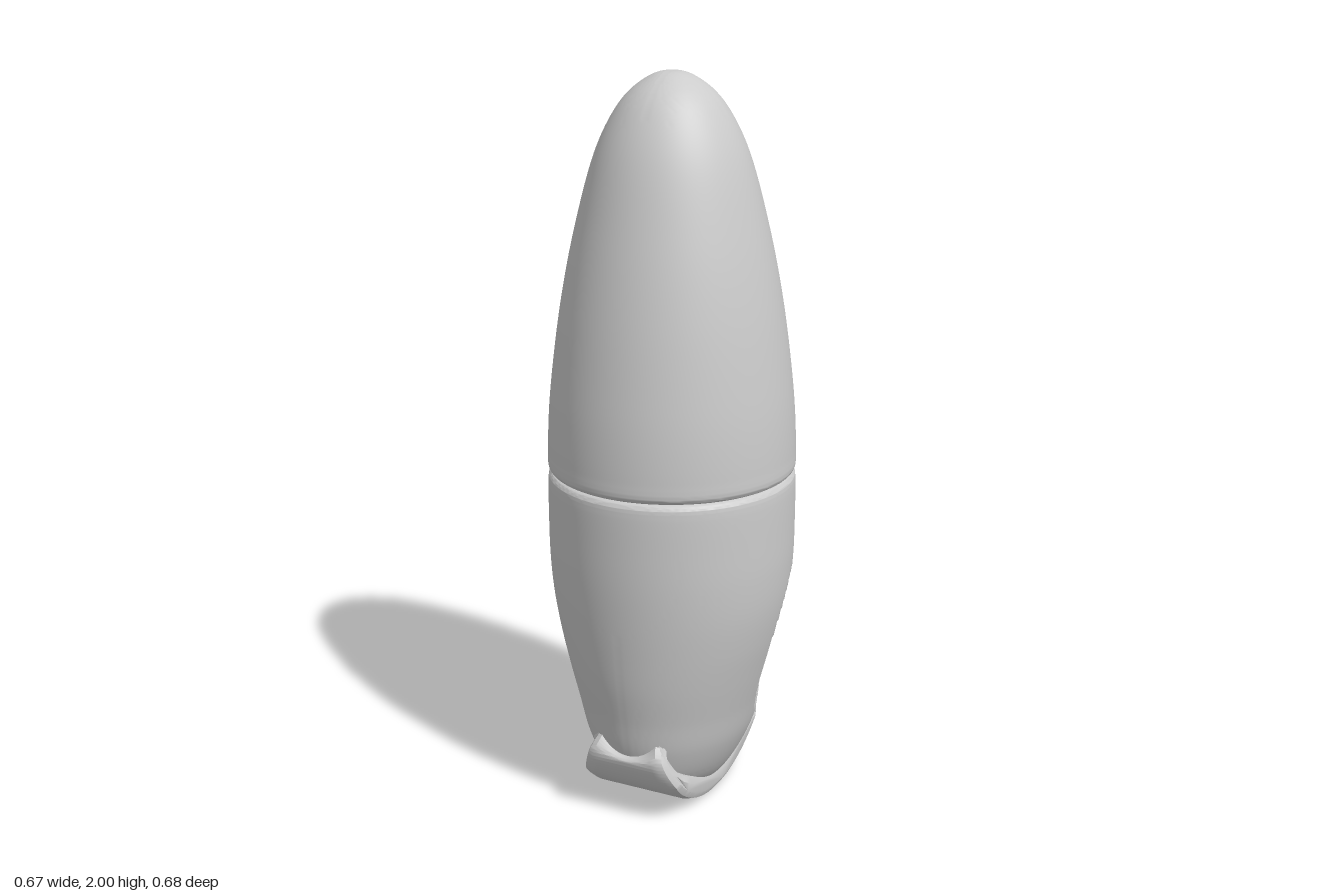
import * as THREE from 'three';
import { mergeVertices, toCreasedNormals } from 'three/addons/utils/BufferGeometryUtils.js';

const material = new THREE.MeshStandardMaterial({ color: 0xcccccc });

function addPart(group, name, geometry) {
  const mesh = new THREE.Mesh(geometry, material);
  mesh.name = name;
  group.add(mesh);
}

// Closed smooth surface from [x radius, y, z radius] stations, bottom to top
function ovalLathe(stations, rows, segments, reshape) {
  const curve = new THREE.CatmullRomCurve3(stations.map((s) => new THREE.Vector3(...s)), false, 'centripetal');
  const profile = curve.getPoints(rows);
  const geo = new THREE.LatheGeometry(profile.map((p) => new THREE.Vector2(Math.max(p.x, 0), p.y)), segments);
  const pos = geo.attributes.position;
  const v = new THREE.Vector3();
  for (let i = 0; i < pos.count; i++) {
    v.fromBufferAttribute(pos, i);
    const p = profile[i % profile.length];
    if (p.x > 1e-4) v.z *= p.z / p.x;
    if (reshape) reshape(v);
    pos.setXYZ(i, v.x, v.y, v.z);
  }
  geo.deleteAttribute('uv');
  geo.deleteAttribute('normal');
  return toCreasedNormals(mergeVertices(geo, 1e-5), 0.7);
}

// Oval finger hollows: horizontal facing direction and lean
const hollows = [
  { x: 0.91, z: -0.415, lean: 0.03 },
  { x: -1, z: 0.02, lean: -0.03 },
];

function pressHollows(v) {
  for (const h of hollows) {
    if (v.x * h.x + v.z * h.z < 0) continue;
    const rise = v.y - 0.45;
    const across = v.x * -h.z + v.z * h.x - h.lean * rise;
    const d = Math.hypot(across / 0.118, rise / 0.225);
    if (d >= 1) continue;
    const push = 0.055 * Math.pow(1 - d * d, 0.7);
    v.x -= h.x * push;
    v.z -= h.z * push;
  }
}

// Curved strip under the body, running front to back
function footGeometry() {
  const outline = new THREE.Shape();
  outline.moveTo(0.255, 0.245);
  outline.splineThru([[0.286, 0.2], [0.275, 0.145], [0.235, 0.09], [0.16, 0.04], [0.08, 0.012], [0, 0.004],
    [-0.09, 0.012], [-0.17, 0.04], [-0.25, 0.09], [-0.298, 0.145], [-0.31, 0.195], [-0.285, 0.245]]
    .map((p) => new THREE.Vector2(...p)));
  outline.splineThru([[-0.22, 0.14], [0, 0.08], [0.2, 0.14], [0.255, 0.245]].map((p) => new THREE.Vector2(...p)));
  const geo = new THREE.ExtrudeGeometry(outline, {
    depth: 0.24, steps: 10, curveSegments: 40,
    bevelThickness: 0.028, bevelSize: 0.022, bevelOffset: -0.022, bevelSegments: 2,
  });
  geo.translate(0, 0, -0.12).rotateY(-Math.PI / 2);
  // Narrow the raised ends and dip their upper edge between two points
  const pos = geo.attributes.position;
  for (let i = 0; i < pos.count; i++) {
    const x = pos.getX(i), y = pos.getY(i);
    pos.setX(i, x * (1 - Math.max(0, y - 0.12) * 2.8));
    if (y > 0.18) pos.setY(i, y - 0.7 * (y - 0.18) * Math.max(0, 1 - (x / 0.12) ** 2));
  }
  return toCreasedNormals(geo, 0.6);
}

export function createModel() {
  const group = new THREE.Group();
  group.name = 'capsule';

  // Pointed upper shell, rolled in at the seam
  addPart(group, 'upperShell', ovalLathe([
    [0.29, 0.945], [0.322, 0.946], [0.332, 0.956], [0.333, 1.0], [0.329, 1.1], [0.32, 1.2], [0.293, 1.4],
    [0.253, 1.6], [0.197, 1.8], [0.148, 1.9], [0.108, 1.95], [0.06, 1.985], [0.03, 1.997], [0, 2],
  ].map(([r, y]) => [r, y, r * 1.01]), 90, 96));

  // Lower shell, flattening to an oval toward the foot
  addPart(group, 'lowerShell', ovalLathe([
    [0, 0.03, 0], [0.1, 0.033, 0.12], [0.14, 0.055, 0.17], [0.18, 0.11, 0.235], [0.222, 0.2, 0.272],
    [0.25, 0.3, 0.291], [0.278, 0.4, 0.309], [0.304, 0.5, 0.321], [0.323, 0.6, 0.33], [0.332, 0.7, 0.336],
    [0.334, 0.8, 0.338], [0.333, 0.92, 0.337], [0.331, 0.932, 0.335], [0.322, 0.942, 0.326], [0.29, 0.944, 0.294],
  ], 130, 200, pressHollows));

  // Recessed band inside the seam
  const band = new THREE.CylinderGeometry(0.318, 0.318, 0.03, 64, 1, true);
  band.translate(0, 0.945, 0);
  addPart(group, 'seamBand', band);

  addPart(group, 'foot', footGeometry());
  return group;
}
